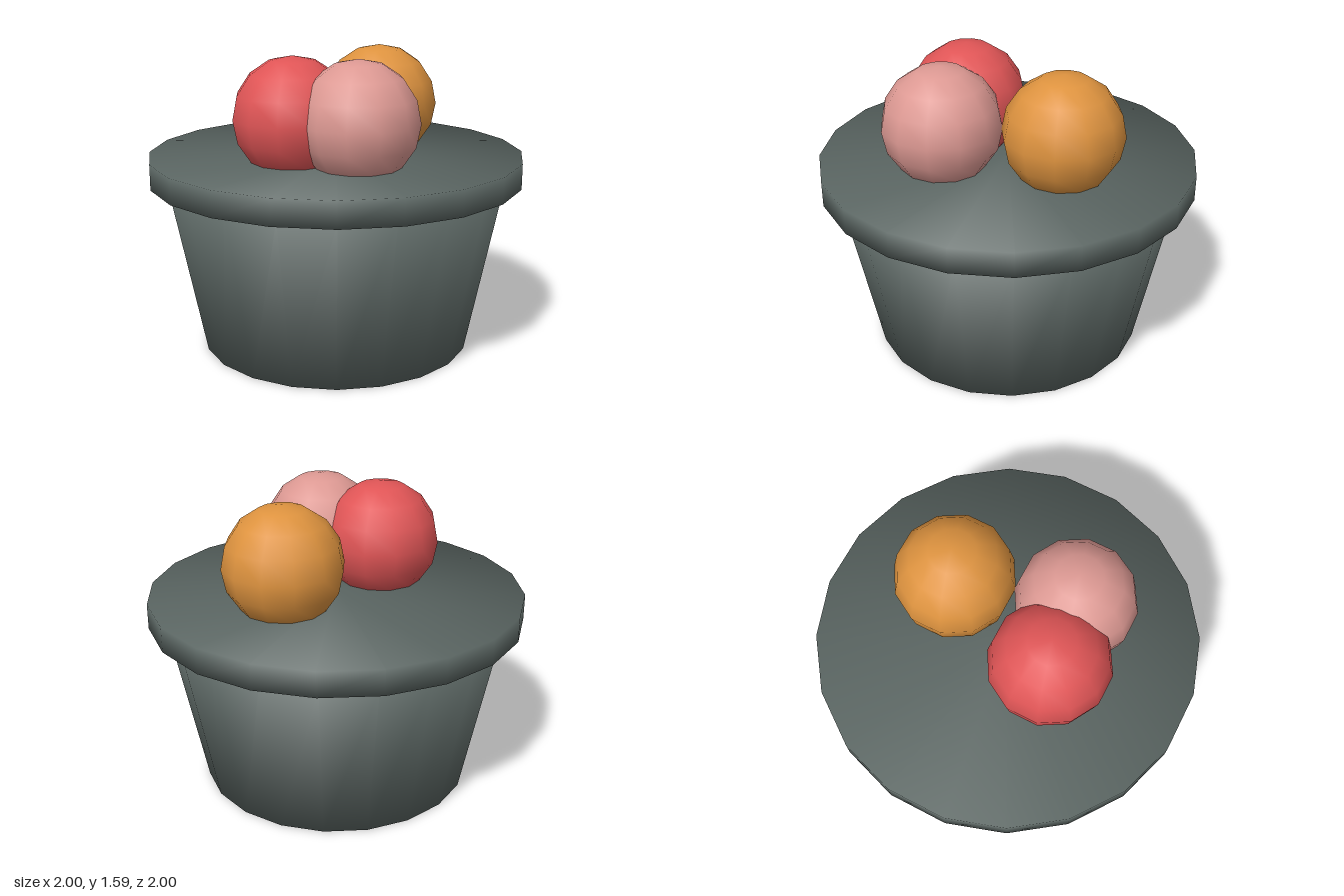
import * as THREE from 'three';

const material = (name, color) => {
  const m = new THREE.MeshStandardMaterial({ color });
  m.name = name;
  return m;
};

// Closed 20-sided drum whose shading is smooth across the cap edges
function softDrum(rTop, rBottom, y0, y1) {
  const height = y1 - y0;
  const geo = new THREE.CylinderGeometry(rTop, rBottom, height, 20, 1);
  const pos = geo.attributes.position;
  const normal = geo.attributes.normal;
  for (let i = 0; i < pos.count; i++) {
    const x = pos.getX(i), z = pos.getZ(i);
    const r = Math.hypot(x, z) || 1;
    const k = Math.SQRT1_2;
    normal.setXYZ(i, (x / r) * k, Math.sign(pos.getY(i)) * k, (z / r) * k);
  }
  geo.translate(0, y0 + height / 2, 0);
  return geo;
}

export function createModel() {
  const group = new THREE.Group();
  const add = (name, geo, mat) => {
    const mesh = new THREE.Mesh(geo, mat);
    mesh.name = name;
    group.add(mesh);
    return mesh;
  };

  // Tapered tub and its overhanging rim
  const slate = material('slate grey', 0x5a6562);
  add('tub', softDrum(0.91, 0.727, 0, 0.92), slate);
  add('rim', softDrum(1, 1, 0.915, 1.05), slate);

  // Three balls resting in the top
  const balls = [
    ['redBall', 'red', 0xe05556, -0.275, 0.13],
    ['pinkBall', 'pink', 0xdd9993, 0, 0.36],
    ['orangeBall', 'orange', 0xde933f, 0.315, -0.183],
  ];
  for (const [name, colorName, color, x, z] of balls) {
    const ball = add(name, new THREE.SphereGeometry(0.317, 12, 8), material(colorName, color));
    ball.position.set(x, 1.276, z);
  }
  return group;
}
